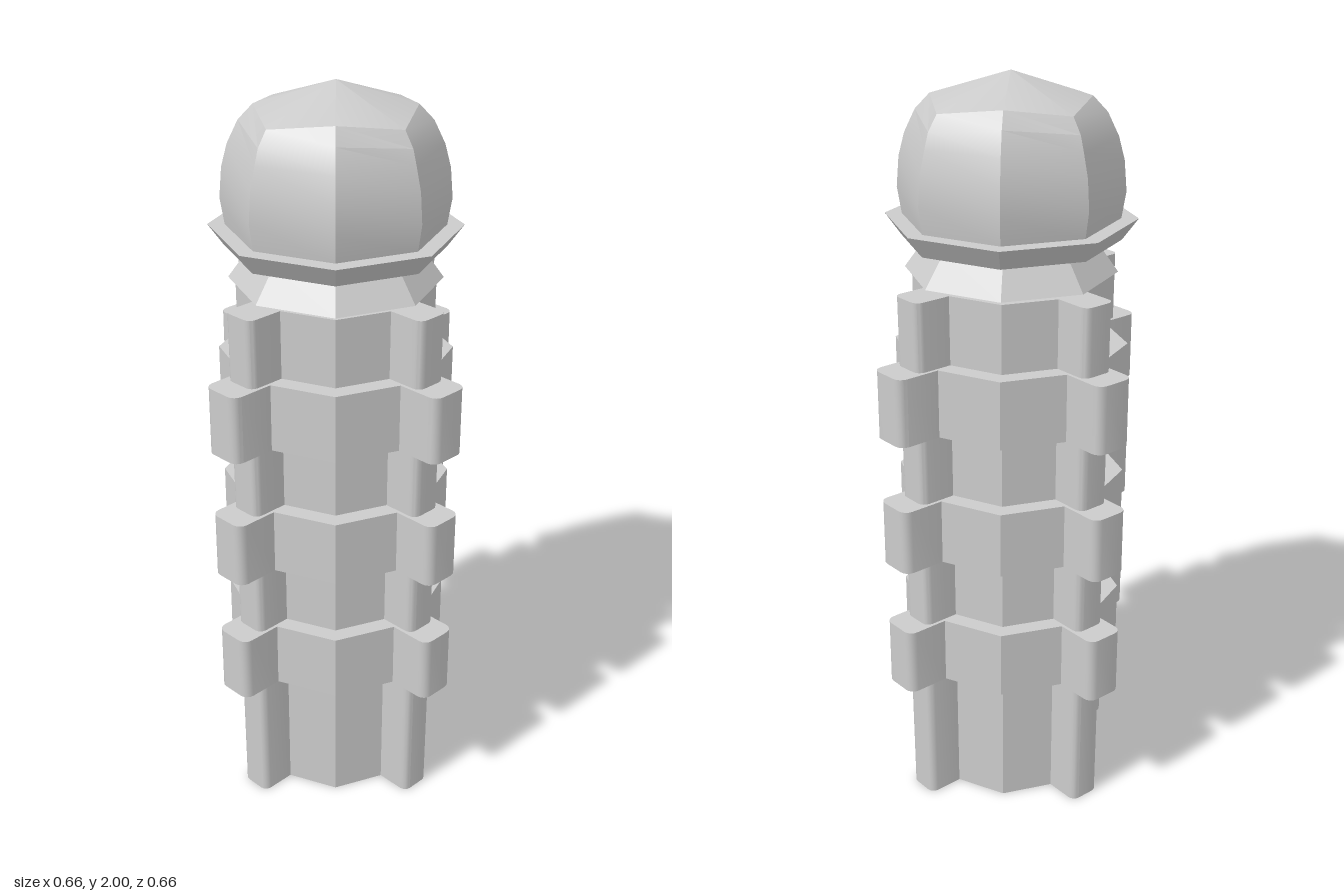
import * as THREE from 'three';
import { toCreasedNormals } from 'three/addons/utils/BufferGeometryUtils.js';

const material = new THREE.MeshStandardMaterial({ color: 0xcccccc });
const CREASE = 0.45;

function addPart(group, name, geometry) {
  const mesh = new THREE.Mesh(toCreasedNormals(geometry, CREASE), material);
  mesh.name = name;
  group.add(mesh);
  return mesh;
}

// Octagon with a round-cornered rib on each diagonal
function ribbedOutline(scale) {
  const R = 0.26, halfWidth = 0.047, tip = 0.342, r = 0.021;
  const root = R - Math.tan(Math.PI / 8) * halfWidth;
  const rib = [[root, -halfWidth]];
  for (const side of [-1, 1]) {
    for (let i = 0; i <= 4; i++) {
      const a = (side < 0 ? -Math.PI / 2 : 0) + (i * Math.PI) / 8;
      rib.push([tip - r + r * Math.cos(a), side * (halfWidth - r) + r * Math.sin(a)]);
    }
  }
  rib.push([root, halfWidth]);

  const points = [];
  const centre = new THREE.Vector2();
  for (let k = 0; k < 4; k++) {
    const turn = (k * Math.PI) / 2;
    points.push(new THREE.Vector2(R, 0).rotateAround(centre, turn));
    for (const [u, v] of rib) {
      points.push(new THREE.Vector2(u, v).rotateAround(centre, turn + Math.PI / 4));
    }
  }
  return new THREE.Shape(points.map((p) => p.multiplyScalar(scale)));
}

// Upright slice of the ribbed outline, widening or narrowing towards its top
function ribbedTier(y0, y1, scale, topScale = scale) {
  const geometry = new THREE.ExtrudeGeometry(ribbedOutline(1), { depth: y1 - y0, bevelEnabled: false });
  geometry.rotateX(-Math.PI / 2).translate(0, y0, 0);
  const pos = geometry.attributes.position;
  for (let i = 0; i < pos.count; i++) {
    const s = THREE.MathUtils.mapLinear(pos.getY(i), y0, y1, scale, topScale);
    pos.setXYZ(i, pos.getX(i) * s, pos.getY(i), pos.getZ(i) * s);
  }
  return geometry;
}

const octagonLathe = (profile) =>
  new THREE.LatheGeometry(profile.map(([x, y]) => new THREE.Vector2(x, y)), 8);

// Domed head: the diagonal corners of the upper rings sit wider and lower
function domeGeometry() {
  const profile = [[0.284, 1.63], [0.295, 1.70], [0.288, 1.78], [0.272, 1.84],
    [0.243, 1.90], [0.205, 1.94], [0, 2]];
  const diagonal = { 4: [0.26, 1.88], 5: [0.233, 1.92] };
  const geometry = octagonLathe(profile);
  const pos = geometry.attributes.position;
  for (let i = 0; i < pos.count; i++) {
    const column = Math.floor(i / profile.length);
    const moved = diagonal[i % profile.length];
    if (column % 2 === 1 && moved) {
      const a = (column * Math.PI) / 4;
      pos.setXYZ(i, moved[0] * Math.sin(a), moved[1], moved[0] * Math.cos(a));
    }
  }
  return geometry;
}

export function createModel() {
  const group = new THREE.Group();
  group.name = 'ribbedPost';

  // Shaft and the three wider bands around it
  addPart(group, 'shaft', ribbedTier(0, 1.475, 0.97, 1.005));
  [[0.37, 0.555, 1.17], [0.74, 0.92, 1.185], [1.105, 1.29, 1.195]].forEach(([y0, y1, s], i) =>
    addPart(group, `band${i + 1}`, ribbedTier(y0, y1, s)));

  // Flared neck on a thin spacer
  addPart(group, 'neck', octagonLathe(
    [[0.235, 1.47], [0.235, 1.487], [0.28, 1.487], [0.218, 1.573], [0.218, 1.58]]));

  // Collar and head
  addPart(group, 'collar', octagonLathe(
    [[0, 1.573], [0.287, 1.573], [0.329, 1.63], [0.27, 1.63]]));
  addPart(group, 'dome', domeGeometry());

  return group;
}
